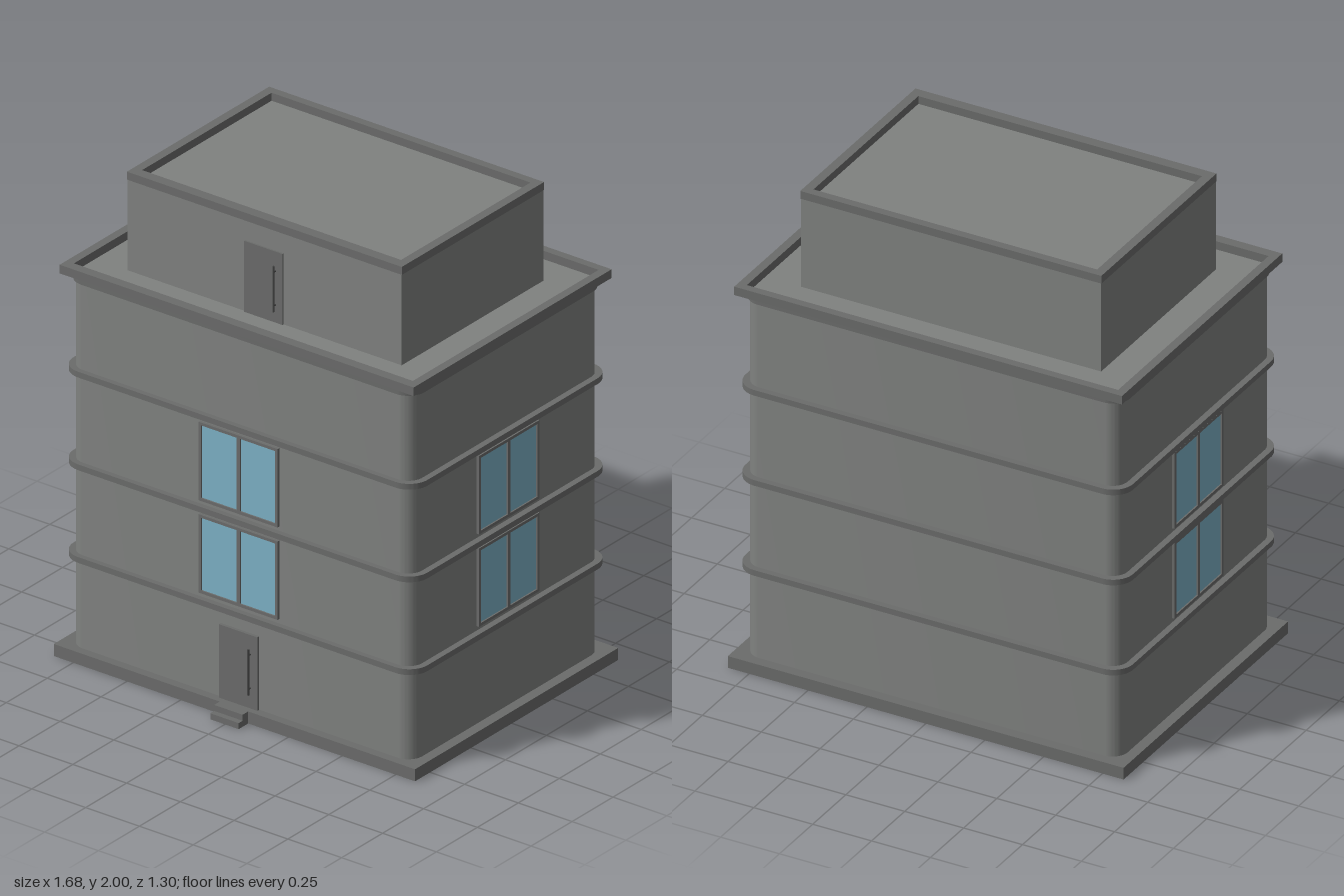
import * as THREE from 'three';
import { toCreasedNormals } from 'three/addons/utils/BufferGeometryUtils.js';

const wall = new THREE.MeshStandardMaterial({ color: 0x808280 });
const trim = new THREE.MeshStandardMaterial({ color: 0x6b6c6b });
const metal = new THREE.MeshStandardMaterial({ color: 0x484848 });
const glass = new THREE.MeshStandardMaterial({ color: 0x7cb1c6 });

function addMesh(parent, name, geometry, material) {
  const mesh = new THREE.Mesh(geometry, material);
  mesh.name = name;
  parent.add(mesh);
  return mesh;
}

// Box given by its minimum and maximum on each axis
function box(parent, name, [x0, x1], [y0, y1], [z0, z1], material = trim) {
  const mesh = addMesh(parent, name, new THREE.BoxGeometry(x1 - x0, y1 - y0, z1 - z0), material);
  mesh.position.set((x0 + x1) / 2, (y0 + y1) / 2, (z0 + z1) / 2);
}

// Plan outline, drawn with shape y = -z
function outline(path, hx, z0, z1, r) {
  const a = -z1, b = -z0;
  path.moveTo(-hx + r, a);
  path.lineTo(hx - r, a);
  if (r) path.absarc(hx - r, a + r, r, -Math.PI / 2, 0);
  path.lineTo(hx, b - r);
  if (r) path.absarc(hx - r, b - r, r, 0, Math.PI / 2);
  path.lineTo(-hx + r, b);
  if (r) path.absarc(-hx + r, b - r, r, Math.PI / 2, Math.PI);
  path.lineTo(-hx, a + r);
  if (r) path.absarc(-hx + r, a + r, r, Math.PI, Math.PI * 1.5);
  return path;
}

// Plan outline raised from y0 to y1, optionally with an opening [hx, z0, z1]
function slab(parent, name, material, hx, [z0, z1], [y0, y1], r = 0, hole = null) {
  const shape = outline(new THREE.Shape(), hx, z0, z1, r);
  if (hole) shape.holes.push(outline(new THREE.Path(), ...hole, 0));
  const geo = new THREE.ExtrudeGeometry(shape, { depth: y1 - y0, bevelEnabled: false, curveSegments: 8 });
  geo.rotateX(-Math.PI / 2).translate(0, y0, 0);
  addMesh(parent, name, toCreasedNormals(geo, 0.6), material);
}

// Two-pane window facing +z, centred on its own origin
function makeWindow() {
  const g = new THREE.Group();
  g.name = 'window';
  const w = 0.184, h = 0.163, t = 0.012, z = [-0.015, 0.011];
  const mirrored = (s, a, b) => (s > 0 ? [a, b] : [-b, -a]);
  for (const s of [-1, 1]) {
    box(g, 'frameSide', mirrored(s, w - t, w), [-h, h], z);
    box(g, 'frameRail', [-w + t, w - t], mirrored(s, h - t, h), z);
    box(g, 'glassPane', mirrored(s, 0.008, w - t), [-h + t, h - t], [-0.015, 0.005], glass);
  }
  box(g, 'mullion', [-0.008, 0.008], [-h + t, h - t], z);
  return g;
}

// Door facing +z with a bar handle; origin at the foot of the door
function makeDoor(height) {
  const g = new THREE.Group();
  g.name = 'door';
  box(g, 'doorLeaf', [-0.09, 0.088], [0, height], [-0.01, 0.012]);
  const top = height - 0.055, bottom = top - 0.19;
  const bar = addMesh(g, 'handleBar', new THREE.CylinderGeometry(0.004, 0.004, top - bottom, 10), metal);
  bar.position.set(0.056, (top + bottom) / 2, 0.025);
  for (const y of [bottom + 0.025, top - 0.025]) {
    const stud = addMesh(g, 'handleStud', new THREE.CylinderGeometry(0.003, 0.003, 0.018, 8), metal);
    stud.rotation.x = Math.PI / 2;
    stud.position.set(0.056, y, 0.017);
  }
  return g;
}

export function createModel() {
  const model = new THREE.Group();
  model.name = 'building';

  // Plinth and entrance steps
  slab(model, 'plinth', trim, 0.84, [-0.648, 0.592], [0, 0.05]);
  box(model, 'upperStep', [-0.068, 0.064], [0.025, 0.05], [0.58, 0.626]);
  box(model, 'lowerStep', [-0.068, 0.064], [0, 0.025], [0.58, 0.65]);

  // Main walls with rounded corners, and a ledge at each storey
  slab(model, 'walls', wall, 0.797, [-0.604, 0.556], [0.05, 1.59], 0.065);
  for (const y of [0.425, 0.81, 1.195]) {
    slab(model, 'storeyLedge', trim, 0.823, [-0.63, 0.578], [y - 0.012, y + 0.012], 0.085);
  }

  // Roof edge: rounded moulding below, square parapet above
  slab(model, 'roofMoulding', trim, 0.807, [-0.614, 0.566], [1.565, 1.589], 0.075);
  slab(model, 'roofParapet', trim, 0.823, [-0.63, 0.578], [1.589, 1.625], 0, [0.788, -0.597, 0.537]);

  // Rooftop room with its own parapet
  slab(model, 'roofRoom', wall, 0.637, [-0.457, 0.407], [1.585, 1.967]);
  slab(model, 'roofRoomParapet', trim, 0.639, [-0.459, 0.409], [1.967, 2], 0, [0.602, -0.425, 0.365]);

  // Windows on the front and both sides, two storeys
  for (const y of [0.619, 1.003]) {
    for (const [x, z, turn] of [[-0.002, 0.556, 0], [0.798, -0.024, 1], [-0.798, -0.024, -1]]) {
      const win = makeWindow();
      win.position.set(x, y, z);
      win.rotation.y = turn * Math.PI / 2;
      model.add(win);
    }
  }

  // Entrance and roof doors
  const entrance = makeDoor(0.305);
  entrance.position.set(0, 0.05, 0.556);
  const roofDoor = makeDoor(0.295);
  roofDoor.position.set(0, 1.59, 0.402);
  model.add(entrance, roofDoor);

  return model;
}
